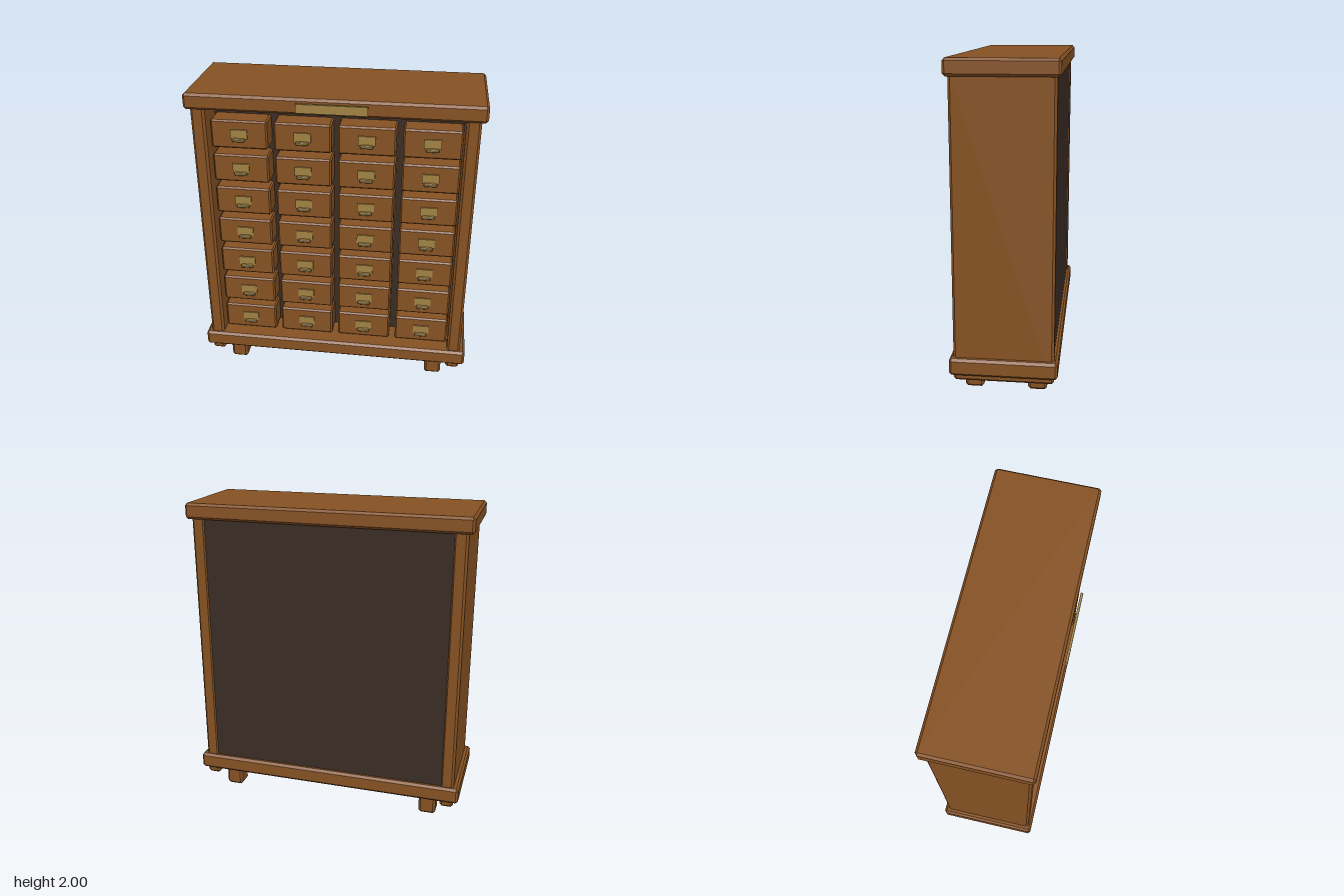
import * as THREE from 'three';
import { ConvexGeometry } from 'three/addons/geometries/ConvexGeometry.js';

// Box with every edge cut at 45 degrees
function chamferBox(w, h, d, c) {
  const points = [];
  for (const sx of [-1, 1]) for (const sy of [-1, 1]) for (const sz of [-1, 1]) {
    const x = w / 2, y = h / 2, z = d / 2;
    points.push(
      new THREE.Vector3(sx * x, sy * (y - c), sz * (z - c)),
      new THREE.Vector3(sx * (x - c), sy * y, sz * (z - c)),
      new THREE.Vector3(sx * (x - c), sy * (y - c), sz * z));
  }
  return new ConvexGeometry(points);
}

export function createModel() {
  const material = (name, color) => {
    const m = new THREE.MeshStandardMaterial({ color });
    m.name = name;
    return m;
  };
  const wood = material('wood', 0x855122);
  const darkWood = material('dark wood', 0x3a2c24);
  const brass = material('brass', 0xa08142);

  const model = new THREE.Group();
  model.name = 'drawerCabinet';
  const add = (parent, name, geometry, mat, x, y, z) => {
    const mesh = new THREE.Mesh(geometry, mat);
    mesh.name = name;
    mesh.position.set(x, y, z);
    parent.add(mesh);
    return mesh;
  };

  // Top and base slabs
  const slabDepth = 0.645, slabZ = -0.012;
  add(model, 'topSlab', chamferBox(1.8, 0.1, slabDepth, 0.015), wood, 0, 1.95, slabZ);
  add(model, 'baseSlab', chamferBox(1.8, 0.105, slabDepth, 0.015), wood, 0, 0.1975, slabZ);

  // Side panels running down past the base
  const panel = chamferBox(0.088, 1.84, 0.6, 0.015);
  for (const s of [-1, 1]) {
    add(model, s > 0 ? 'leftPanel' : 'rightPanel', panel, wood, s * 0.822, 1.02, -0.012);
  }

  // Dark carcass behind the drawers
  add(model, 'carcass', new THREE.BoxGeometry(1.57, 1.8, 0.38), darkWood, 0, 1.035, -0.115);

  // Four feet
  const foot = chamferBox(0.112, 0.18, 0.115, 0.015);
  for (const x of [-0.69, 0.69]) for (const z of [-0.205, 0.182]) {
    add(model, 'foot', foot, wood, x, 0.09, z);
  }

  // Grid of drawers, each with a label plate and a pull
  const front = chamferBox(0.355, 0.184, 0.16, 0.01);
  const label = new THREE.BoxGeometry(0.106, 0.06, 0.008);
  const pull = chamferBox(0.08, 0.02, 0.026, 0.005);
  for (let row = 0; row < 7; row++) for (let col = 0; col < 4; col++) {
    const drawer = new THREE.Group();
    drawer.name = 'drawer';
    drawer.position.set((col - 1.5) * 0.396, 0.345 + row * 0.228, 0);
    add(drawer, 'drawerFront', front, wood, 0, 0, 0.13);
    add(drawer, 'labelPlate', label, brass, 0, 0.005, 0.214);
    add(drawer, 'pull', pull, brass, 0, -0.028, 0.227);
    model.add(drawer);
  }

  // Blank plate on the front of the top slab
  add(model, 'topPlate', new THREE.BoxGeometry(0.425, 0.055, 0.014), brass, 0, 1.948, 0.329);

  return model;
}
